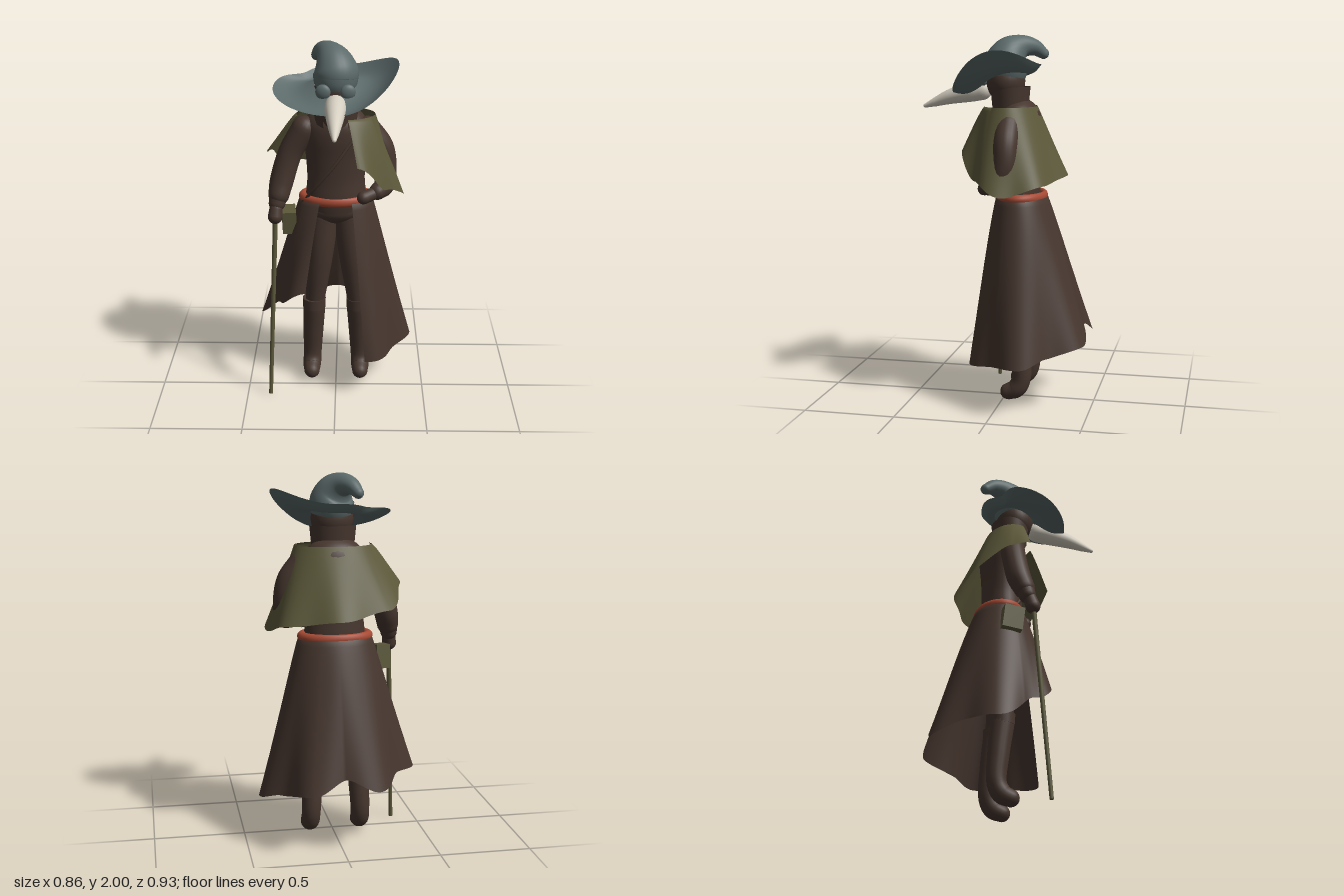
import * as THREE from 'three';
import { ParametricGeometry } from 'three/addons/geometries/ParametricGeometry.js';

const mat = (name, color) => {
  const m = new THREE.MeshStandardMaterial({ color, side: THREE.DoubleSide });
  m.name = name;
  return m;
};
const V = (x, y, z) => new THREE.Vector3(x, y, z);
const lerp = THREE.MathUtils.lerp;
const rad = THREE.MathUtils.degToRad;

// Smooth lookup in a short table of [key, value] pairs
function lookup(table, k) {
  let i = 0;
  while (i < table.length - 2 && k > table[i + 1][0]) i++;
  const [a, b] = [table[i], table[i + 1]];
  return lerp(a[1], b[1], THREE.MathUtils.smoothstep(k, a[0], b[0]));
}

// Round-ended tapered tube through points [x, y, z, radius]
function limbGeometry(points, sides = 20, steps = 28) {
  const path = new THREE.CatmullRomCurve3(points.map((p) => V(p[0], p[1], p[2])));
  const radii = new THREE.CatmullRomCurve3(points.map((p, i) => V(p[3], i, 0)));
  const rings = [];
  const cap = (t, sign) => {
    const tan = path.getTangent(t), c = path.getPoint(t), r = points[t ? points.length - 1 : 0][3];
    const list = [];
    for (let k = 0; k <= 6; k++) {
      const a = (k / 6) * Math.PI / 2;
      list.push({ c: c.clone().addScaledVector(tan, sign * r * Math.cos(a)), r: r * Math.sin(a), tan });
    }
    return sign < 0 ? list : list.reverse();
  };
  rings.push(...cap(0, -1));
  for (let i = 1; i < steps; i++) {
    const t = i / steps;
    rings.push({ c: path.getPoint(t), r: radii.getPoint(t).x, tan: path.getTangent(t) });
  }
  rings.push(...cap(1, 1));
  const pos = [], index = [];
  rings.forEach(({ c, r, tan }, i) => {
    const B = tan.clone().cross(V(1, 0, 0)).normalize();
    const A = B.clone().cross(tan);
    for (let j = 0; j < sides; j++) {
      const f = (j / sides) * Math.PI * 2;
      const p = c.clone().addScaledVector(A, r * Math.cos(f)).addScaledVector(B, r * Math.sin(f));
      pos.push(p.x, p.y, p.z);
      if (i === rings.length - 1) continue;
      const a = i * sides + j, b = i * sides + (j + 1) % sides;
      index.push(a, b, a + sides, b, b + sides, a + sides);
    }
  });
  const g = new THREE.BufferGeometry();
  g.setAttribute('position', new THREE.Float32BufferAttribute(pos, 3));
  g.setIndex(index);
  g.computeVertexNormals();
  return g;
}

export function createModel() {
  const model = new THREE.Group();
  model.name = 'wanderingDoctor';
  const brown = mat('darkBrown', 0x46362e);
  const olive = mat('olive', 0x5c583a);
  const slate = mat('slateGrey', 0x5c6a6a);
  const bone = mat('bone', 0xd4cec0);
  const rust = mat('rust', 0xa64a34);

  const add = (name, geometry, material, x = 0, y = 0, z = 0) => {
    const m = new THREE.Mesh(geometry, material);
    m.name = name;
    m.position.set(x, y, z);
    model.add(m);
    return m;
  };
  const limb = (name, material, points, sides, steps) => add(name, limbGeometry(points, sides, steps), material);
  const ball = (name, material, p, s) => {
    const m = add(name, new THREE.SphereGeometry(1, 28, 18), material, ...p);
    m.scale.set(...s);
    return m;
  };
  const sheet = (name, material, nu, nv, fn) =>
    add(name, new ParametricGeometry((u, v, out) => fn(u, v, out), nu, nv), material);

  // Legs and boots
  for (const s of [-1, 1]) {
    const side = s > 0 ? 'left' : 'right';
    limb(side + 'Leg', brown, [[s * 0.07, 1.03, -0.08, 0.085], [s * 0.09, 0.8, -0.07, 0.075], [s * 0.122, 0.48, -0.085, 0.052]]);
    const boot = [[0.125, 0.47, -0.087, 0.064], [0.132, 0.3, -0.108, 0.058], [0.138, 0.14, -0.117, 0.052],
      [0.14, 0.085, -0.09, 0.052], [0.14, 0.064, -0.045, 0.045]];
    limb(side + 'Boot', brown, boot.map(([x, y, z, r]) => [s * x, y, z, r]));
    add(side + 'BootCuff', new THREE.CylinderGeometry(0.066, 0.064, 0.06, 24), brown, s * 0.125, 0.485, -0.086);
  }
  ball('hips', brown, [0, 1.07, -0.085], [0.17, 0.09, 0.115]);

  // Torso
  const profile = [[0.15, 1.06], [0.165, 1.14], [0.157, 1.25], [0.165, 1.38], [0.178, 1.48], [0.172, 1.56], [0.13, 1.62], [0.08, 1.65]];
  const torsoCurve = new THREE.SplineCurve(profile.map((p) => new THREE.Vector2(...p)));
  const torso = add('torso', new THREE.LatheGeometry(torsoCurve.getPoints(28), 36), brown, 0, 0, -0.075);
  torso.scale.z = 0.7;

  // Shoulder strap crossing the chest
  limb('strap', brown, [[0.12, 1.53, 0.025, 0.009], [0.0, 1.36, 0.05, 0.009], [-0.1, 1.23, 0.025, 0.009], [-0.2, 1.09, -0.05, 0.009]], 8);

  // Belt
  const belt = add('belt', new THREE.TorusGeometry(0.18, 0.026, 14, 56), rust, 0, 1.135, -0.09);
  belt.rotation.x = Math.PI / 2;
  belt.scale.set(1, 0.68, 1);

  // Coat skirt, open at the front, angle measured from the back
  const coatHem = [[-154, 0.65], [-125, 0.55], [-85, 0.4], [-55, 0.41], [-25, 0.36], [0, 0.43], [25, 0.35], [60, 0.31], [85, 0.27], [154, 0.23]];
  sheet('coatSkirt', brown, 110, 24, (u, v, out) => {
    const d = lerp(-154, 154, u), a = rad(d);
    const wave = 0.03 * Math.cos(6 * (Math.abs(a) - rad(25))) * v * v;
    const w = Math.pow(v, 0.92);
    const rx = lerp(0.2, 0.4, w) + wave, rz = lerp(0.14, 0.345, w) + wave;
    const front = Math.max(0, Math.abs(d) - 110) / 44;
    out.set(Math.sin(a) * rx * (1 - 0.1 * front * v), lerp(1.13, lookup(coatHem, d), v),
      lerp(-0.09, -0.12, v) - Math.cos(a) * rz * (1 - 0.14 * front * v));
  });

  // Shoulder cape, thrown back over the right arm
  const capeHem = [[-106, 1.42], [-85, 1.4], [-45, 1.29], [0, 1.25], [45, 1.22], [90, 1.165], [130, 1.24], [162, 1.39]];
  sheet('cape', olive, 90, 20, (u, v, out) => {
    const d = lerp(-106, 162, u), a = rad(d);
    const wave = 0.012 * Math.cos(7 * a) * v * v;
    const w = d > 120 || d < -60 ? Math.pow(v, 0.85) : v;
    const rx = lerp(0.21, 0.365, w) + wave, rz = lerp(0.14, 0.275, w) + wave;
    out.set(Math.sin(a) * rx, lerp(1.62, lookup(capeHem, d), v), lerp(-0.03, -0.055, v) - Math.cos(a) * rz);
  });

  // Arms and hands
  limb('rightArm', brown, [[-0.17, 1.53, -0.05, 0.07], [-0.245, 1.4, -0.05, 0.066], [-0.295, 1.24, -0.03, 0.065], [-0.31, 1.17, -0.005, 0.058]]);
  limb('rightCuff', brown, [[-0.315, 1.155, 0.0, 0.05], [-0.32, 1.125, 0.01, 0.046]]);
  limb('rightHand', brown, [[-0.325, 1.1, 0.025, 0.036], [-0.33, 1.055, 0.038, 0.04]]);
  limb('leftArm', brown, [[0.17, 1.53, -0.05, 0.07], [0.245, 1.43, -0.052, 0.066], [0.268, 1.3, -0.045, 0.062],
    [0.262, 1.225, -0.005, 0.055], [0.225, 1.205, 0.04, 0.046]]);
  limb('leftHand', brown, [[0.21, 1.2, 0.05, 0.034], [0.15, 1.185, 0.085, 0.036]]);

  // Walking staff
  const top = V(-0.325, 1.15, 0.035), foot = V(-0.37, 0, 0.115);
  const staff = add('staff', new THREE.CylinderGeometry(0.014, 0.011, top.distanceTo(foot), 12), olive);
  staff.position.copy(top).add(foot).multiplyScalar(0.5);
  staff.quaternion.setFromUnitVectors(V(0, 1, 0), top.clone().sub(foot).normalize());

  // Pouch hanging from the strap
  const pouch = add('pouch', new THREE.BoxGeometry(0.075, 0.13, 0.11), olive, -0.26, 1.005, -0.06);
  pouch.rotation.set(0.12, 0.1, 0);

  // Collar and hooded head
  sheet('collar', brown, 48, 6, (u, v, out) => {
    const a = rad(lerp(-145, 145, u)), r = lerp(0.112, 0.126, v);
    const drop = 0.05 * Math.pow(Math.abs(2 * u - 1), 4);
    out.set(Math.sin(a) * r, lerp(1.58 - drop * 0.4, 1.725 - drop, v), -0.025 - Math.cos(a) * r * 0.86);
  });
  limb('neck', brown, [[0, 1.56, -0.035, 0.085], [0, 1.68, -0.015, 0.09]]);
  ball('head', brown, [0, 1.755, 0.0], [0.115, 0.12, 0.105]);

  // Beak and eyepieces
  limb('beak', bone, [[0, 1.705, 0.13, 0.055], [0, 1.693, 0.2, 0.054], [0, 1.667, 0.31, 0.041], [0, 1.635, 0.4, 0.024], [0, 1.616, 0.452, 0.011]], 24);
  for (const s of [-1, 1]) {
    const eye = ball(s > 0 ? 'leftEyepiece' : 'rightEyepiece', slate, [s * 0.065, 1.77, 0.106], [0.04, 0.04, 0.02]);
    eye.rotation.y = s * 0.15;
  }

  // Wide brim, drooping at the front and turned up on the left
  const brimPoint = (a, v, lift, out) => {
    const dent = 0.045 * Math.exp(-Math.pow((a - 4.05) / 0.3, 2));
    const x = Math.cos(a) * lerp(0.115, 0.328 - dent, v);
    const z = lerp(0.005, 0.045, v) + Math.sin(a) * lerp(0.105, 0.237 - dent, v);
    const turn = x > 0 ? 1.3 * x * x : 0.1 * x * x;
    out.set(x, 1.775 - 0.33 * (z - 0.02) + turn - 0.03 * Math.sin(v * Math.PI) + lift, z);
  };
  sheet('brimTop', slate, 72, 12, (u, v, out) => brimPoint(u * Math.PI * 2, v, 0.006 * (1 - v), out));
  sheet('brimUnderside', slate, 72, 12, (u, v, out) => brimPoint(u * Math.PI * 2, v, -0.006 * (1 - v), out));

  // Crown with its tip curling back
  limb('crown', slate, [[0, 1.82, 0.0, 0.118], [0, 1.855, -0.005, 0.118], [-0.015, 1.905, -0.03, 0.096], [-0.045, 1.937, -0.08, 0.064],
    [-0.08, 1.932, -0.14, 0.045], [-0.105, 1.9, -0.187, 0.03]], 28, 36);
  return model;
}
